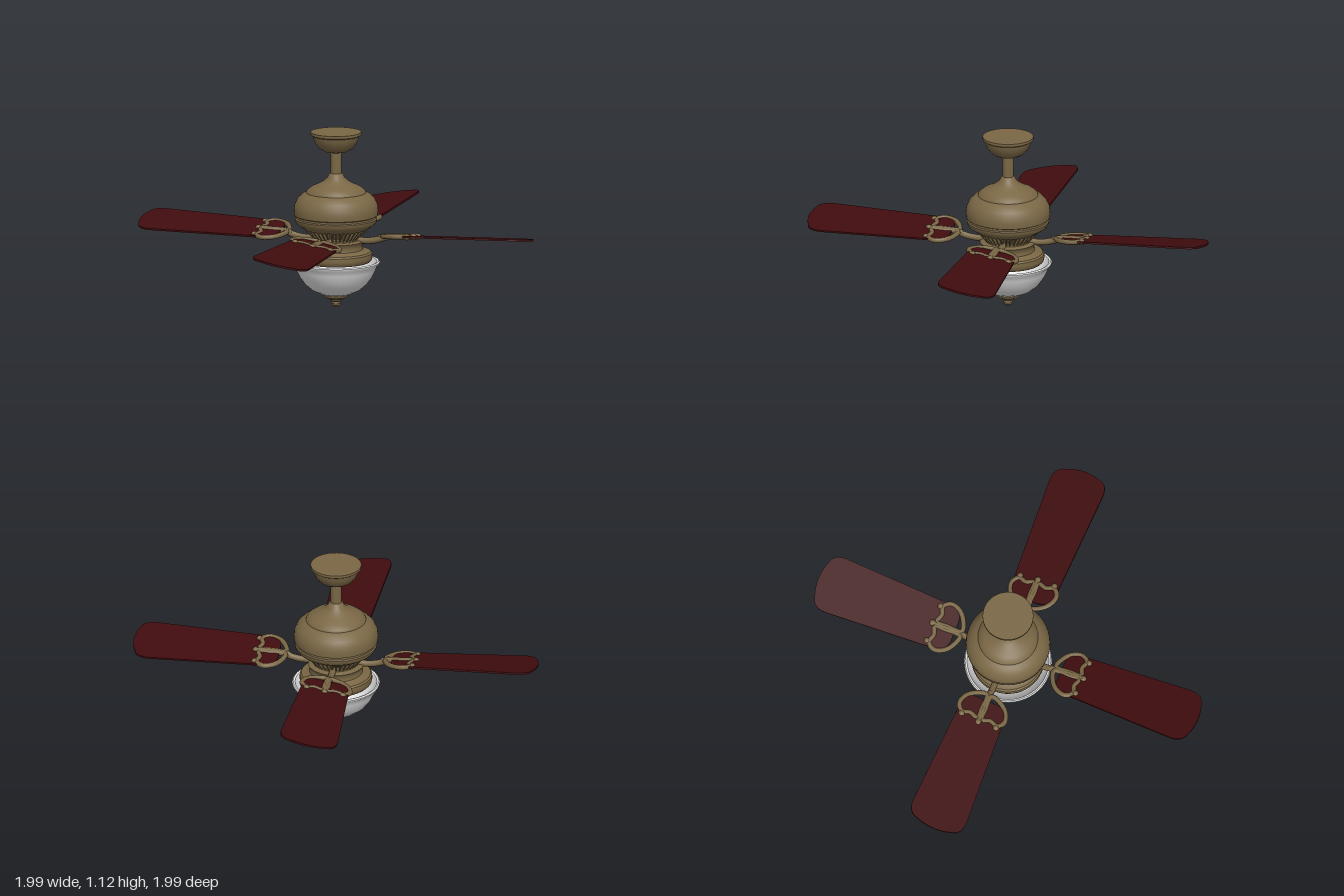
import * as THREE from 'three';
import { toCreasedNormals } from 'three/addons/utils/BufferGeometryUtils.js';

const brass = new THREE.MeshStandardMaterial({ name: 'antique brass', color: 0x7a6745 });
const wood = new THREE.MeshStandardMaterial({ name: 'dark red wood', color: 0x400c0e });
const glass = new THREE.MeshStandardMaterial({ name: 'white glass', color: 0xf2f2f2 });

function add(parent, name, geometry, material) {
  const mesh = new THREE.Mesh(geometry, material);
  mesh.name = name;
  parent.add(mesh);
  return mesh;
}

// Turned part from [radius, height] pairs listed bottom to top
function turned(parent, name, profile, material) {
  const points = profile.map(([r, y]) => new THREE.Vector2(r, y));
  return add(parent, name, toCreasedNormals(new THREE.LatheGeometry(points, 48), 0.65), material);
}

function tube(parent, name, points, radius, closed = false) {
  const curve = new THREE.CatmullRomCurve3(points.map(p => new THREE.Vector3(...p)), closed);
  return add(parent, name, new THREE.TubeGeometry(curve, 36, radius, 8, closed), brass);
}

// Flat blade with a slightly widening outline and rounded corners
function bladeGeometry() {
  const s = new THREE.Shape();
  s.moveTo(0.36, -0.07);
  s.quadraticCurveTo(0.37, -0.14, 0.45, -0.15);
  s.lineTo(1.15, -0.183);
  s.quadraticCurveTo(1.25, -0.19, 1.265, -0.12);
  s.quadraticCurveTo(1.31, 0, 1.265, 0.12);
  s.quadraticCurveTo(1.25, 0.19, 1.15, 0.183);
  s.lineTo(0.45, 0.15);
  s.quadraticCurveTo(0.37, 0.14, 0.36, 0.07);
  s.closePath();
  const g = new THREE.ExtrudeGeometry(s, { depth: 0.012, bevelEnabled: false, curveSegments: 10 });
  return g.translate(0, 0, -0.006).rotateX(Math.PI / 2);
}

// One blade with its bracket, pointing along +x
function bladeArm() {
  const arm = new THREE.Group();
  arm.name = 'bladeArm';
  tube(arm, 'arm', [[0.11, 0.445, 0], [0.19, 0.437, 0], [0.26, 0.445, 0], [0.34, 0.471, 0]], 0.021);

  const pitched = new THREE.Group();
  pitched.name = 'pitchedBlade';
  pitched.position.y = 0.465;
  pitched.rotation.set(-0.17, 0, 0.028);
  arm.add(pitched);
  add(pitched, 'blade', bladeGeometry(), wood);

  // Scrolled bracket: two loops beside a spine
  for (const side of [-1, 1]) {
    tube(pitched, 'bracketLoop', [
      [0.32, 0, 0.015], [0.335, 0, 0.08], [0.38, 0, 0.135], [0.445, 0, 0.155],
      [0.49, 0, 0.12], [0.475, 0, 0.07], [0.49, 0, 0.015], [0.42, 0, 0.012],
    ].map(([x, y, z]) => [x, y, z * side]), 0.016, true);
    const knob = add(pitched, 'bracketKnob', new THREE.SphereGeometry(0.021, 12, 8), brass);
    knob.position.set(0.503, 0, 0.118 * side);
  }
  tube(pitched, 'bracketSpine', [[0.29, -0.008, 0], [0.4, 0, 0], [0.51, 0, 0]], 0.018);
  const tip = add(pitched, 'bracketKnob', new THREE.SphereGeometry(0.021, 12, 8), brass);
  tip.position.set(0.512, 0, 0);
  return arm;
}

export function createModel() {
  const fan = new THREE.Group();
  fan.name = 'ceilingFan';

  turned(fan, 'canopy', [
    [0, 0.995], [0.045, 0.995], [0.075, 1.002], [0.107, 1.022], [0.13, 1.05], [0.143, 1.08],
    [0.148, 1.1], [0.16, 1.108], [0.16, 1.125], [0, 1.125],
  ], brass);
  turned(fan, 'downRod', [[0.035, 0.82], [0.035, 1.0]], brass);

  turned(fan, 'motorHousing', [
    [0, 0.505], [0.2, 0.505], [0.215, 0.515], [0.245, 0.535], [0.258, 0.555], [0.26, 0.57],
    [0.252, 0.576], [0.252, 0.588], [0.264, 0.594], [0.267, 0.625], [0.262, 0.66], [0.245, 0.695],
    [0.215, 0.725], [0.19, 0.737], [0.185, 0.75], [0.155, 0.772], [0.115, 0.79],
    [0.08, 0.81], [0.055, 0.832], [0.044, 0.855], [0.034, 0.862],
  ], brass);

  // Vented lower collar with slanted ribs
  turned(fan, 'ventCone', [[0, 0.45], [0.125, 0.45], [0.175, 0.51]], brass);
  const ribs = new THREE.Group();
  ribs.name = 'ventRibs';
  fan.add(ribs);
  const ribGeometry = new THREE.BoxGeometry(0.085, 0.022, 0.009).rotateZ(0.85).translate(0.167, 0.483, 0);
  for (let i = 0; i < 40; i++) {
    add(ribs, 'ventRib', ribGeometry, brass).rotation.y = i * Math.PI / 20;
  }

  turned(fan, 'hub', [[0, 0.42], [0.13, 0.42], [0.145, 0.43], [0.145, 0.45], [0.13, 0.458], [0, 0.458]], brass);
  turned(fan, 'lightFitter', [
    [0, 0.295], [0.215, 0.295], [0.225, 0.305], [0.23, 0.325], [0.228, 0.35], [0.218, 0.36],
    [0.185, 0.362], [0.168, 0.375], [0.163, 0.395], [0.17, 0.415], [0.178, 0.428], [0.165, 0.437], [0, 0.437],
  ], brass);

  // Glass bowl with an outer and an inner wall
  turned(fan, 'glassBowl', [
    [0, 0.078], [0.06, 0.08], [0.1, 0.09], [0.15, 0.113], [0.195, 0.15], [0.228, 0.195], [0.25, 0.24],
    [0.26, 0.268], [0.274, 0.28], [0.277, 0.292], [0.27, 0.3], [0.258, 0.296],
    [0.245, 0.26], [0.215, 0.195], [0.18, 0.15], [0.13, 0.115], [0, 0.092],
  ], glass);
  turned(fan, 'finial', [
    [0, 0], [0.014, 0.003], [0.026, 0.014], [0.028, 0.026], [0.022, 0.036], [0.036, 0.042],
    [0.042, 0.054], [0.06, 0.06], [0.075, 0.068], [0.075, 0.078], [0.06, 0.086], [0, 0.086],
  ], brass);

  for (let i = 0; i < 4; i++) {
    const arm = bladeArm();
    arm.rotation.y = Math.PI / 4 + i * Math.PI / 2;
    fan.add(arm);
  }
  return fan;
}
